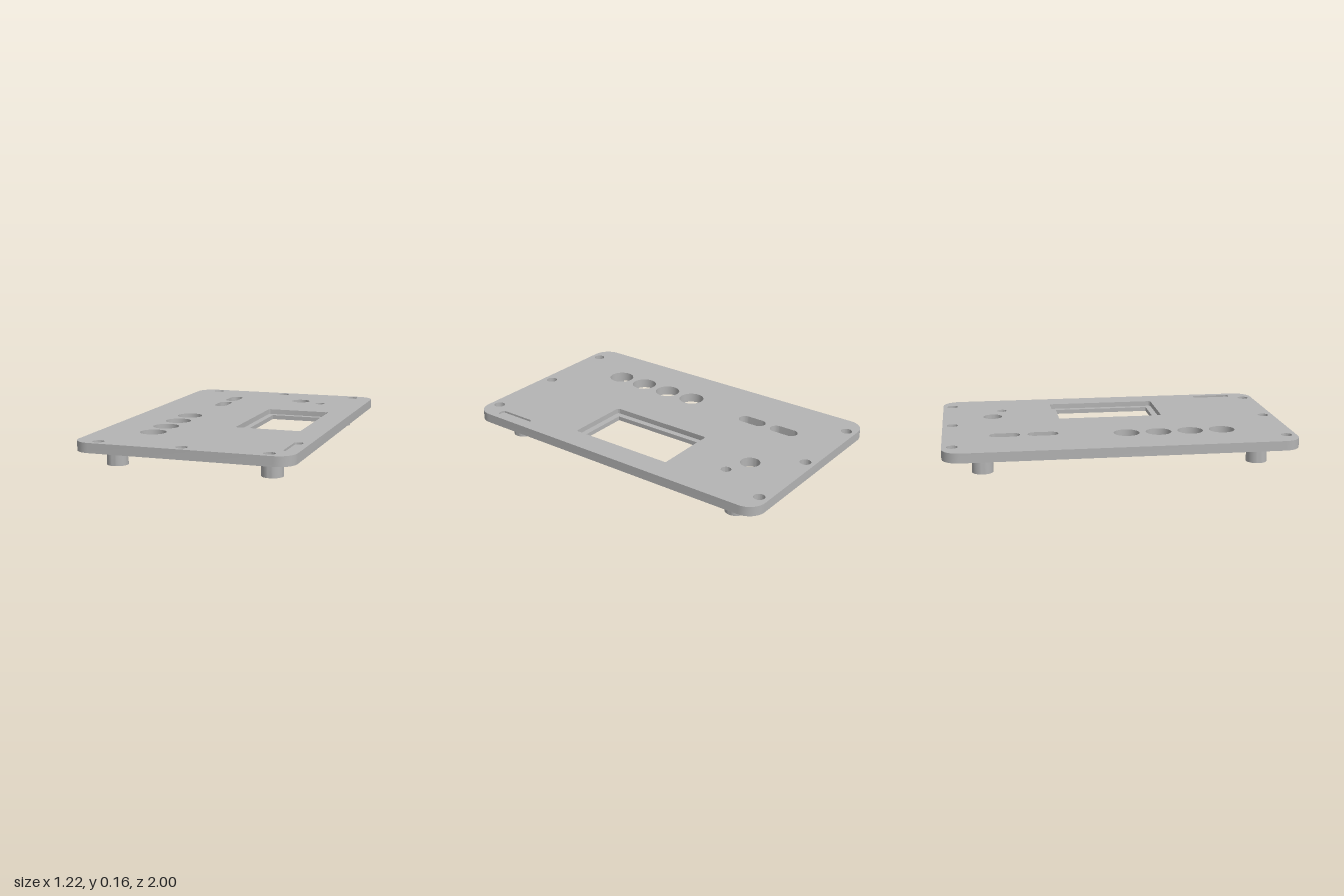
import * as THREE from 'three';
import { mergeGeometries, toCreasedNormals } from 'three/addons/utils/BufferGeometryUtils.js';

const BOTTOM = 0.1, TOP = 0.155, LEDGE = 0.125, GROOVE = 0.143;

// Counter-clockwise outline of a rounded rectangle, in (x, -z)
function roundRect(cx, cz, w, d, r, steps = 10) {
  const pts = [];
  const corners = [[1, 1], [-1, 1], [-1, -1], [1, -1]];
  corners.forEach(([sx, sy], k) => {
    const n = r > 0 ? steps : 0;
    for (let i = 0; i <= n; i++) {
      const a = (k + (n ? i / n : 0)) * Math.PI / 2;
      const p = new THREE.Vector2(
        cx + sx * (w / 2 - r) + r * Math.cos(a),
        -cz + sy * (d / 2 - r) + r * Math.sin(a));
      if (!pts.length || pts[pts.length - 1].distanceTo(p) > 1e-5) pts.push(p);
    }
  });
  if (pts[0].distanceTo(pts[pts.length - 1]) < 1e-5) pts.pop();
  return pts;
}
const circle = (x, z, r) => roundRect(x, z, 2 * r, 2 * r, r);

// Flat face with holes at height y, facing up or down
function face(outline, holes, y, up = true) {
  const shape = new THREE.Shape(outline);
  shape.holes = holes.map(h => new THREE.Path(h));
  const g = new THREE.ShapeGeometry(shape);
  if (!up) g.index.array.reverse();
  g.deleteAttribute('uv');
  g.deleteAttribute('normal');
  return g.rotateX(-Math.PI / 2).translate(0, y, 0).toNonIndexed();
}

// Upright wall along an outline; inner walls face into the opening
function wall(outline, y0, y1, inner = true) {
  const pts = inner ? [...outline].reverse() : outline;
  const pos = [];
  pts.forEach((a, i) => {
    const b = pts[(i + 1) % pts.length];
    pos.push(a.x, y0, -a.y, b.x, y0, -b.y, b.x, y1, -b.y);
    pos.push(a.x, y0, -a.y, b.x, y1, -b.y, a.x, y1, -a.y);
  });
  const g = new THREE.BufferGeometry();
  g.setAttribute('position', new THREE.Float32BufferAttribute(pos, 3));
  return g;
}

export function createModel() {
  const grey = new THREE.MeshStandardMaterial({ color: 0xb4b4b4 });
  grey.name = 'grey';
  const group = new THREE.Group();
  group.name = 'controlPanel';

  // Openings that pass through the plate
  const holes = [];
  for (const x of [-0.475, 0, 0.475])
    for (const z of [-0.942, 0.942]) holes.push(circle(x, z, 0.032)); // screw holes
  for (let i = 0; i < 4; i++) holes.push(circle(-0.304, 0.048 + i * 0.186, 0.074)); // button holes
  for (const z of [-0.646, -0.428]) holes.push(roundRect(-0.26, z, 0.08, 0.175, 0.04)); // switch slots
  holes.push(circle(0.185, -0.70, 0.056), circle(0.33, -0.638, 0.029));

  // Stepped window and shallow groove
  const window = roundRect(0.272, -0.003, 0.31, 0.58, 0);
  const recess = roundRect(0.272, -0.003, 0.382, 0.652, 0.015);
  const groove = roundRect(0.545, 0.744, 0.05, 0.235, 0.018);
  const outline = roundRect(0, 0, 1.22, 2, 0.1);

  const plate = mergeGeometries([
    face(outline, [...holes, recess, groove], TOP),
    face(outline, [...holes, window], BOTTOM, false),
    face(recess, [window], LEDGE),
    face(groove, [], GROOVE),
    wall(outline, BOTTOM, TOP, false),
    wall(recess, LEDGE, TOP),
    wall(window, BOTTOM, LEDGE),
    wall(groove, GROOVE, TOP),
    ...holes.map(h => wall(h, BOTTOM, TOP)),
  ]);
  plate.computeVertexNormals();
  const plateMesh = new THREE.Mesh(toCreasedNormals(plate, 0.6), grey);
  plateMesh.name = 'plate';
  group.add(plateMesh);

  // Standoffs with a blind screw hole from below
  const profile = [[0, 0.08], [0.016, 0.08], [0.016, 0], [0.059, 0], [0.059, BOTTOM]]
    .map(([r, y]) => new THREE.Vector2(r, y));
  const post = toCreasedNormals(new THREE.LatheGeometry(profile, 40), 0.6);
  for (const x of [-0.442, 0.442])
    for (const z of [-0.778, 0.778]) {
      const m = new THREE.Mesh(post, grey);
      m.name = (z > 0 ? 'front' : 'back') + (x > 0 ? 'Left' : 'Right') + 'Standoff';
      m.position.set(x, 0, z);
      group.add(m);
    }
  return group;
}
